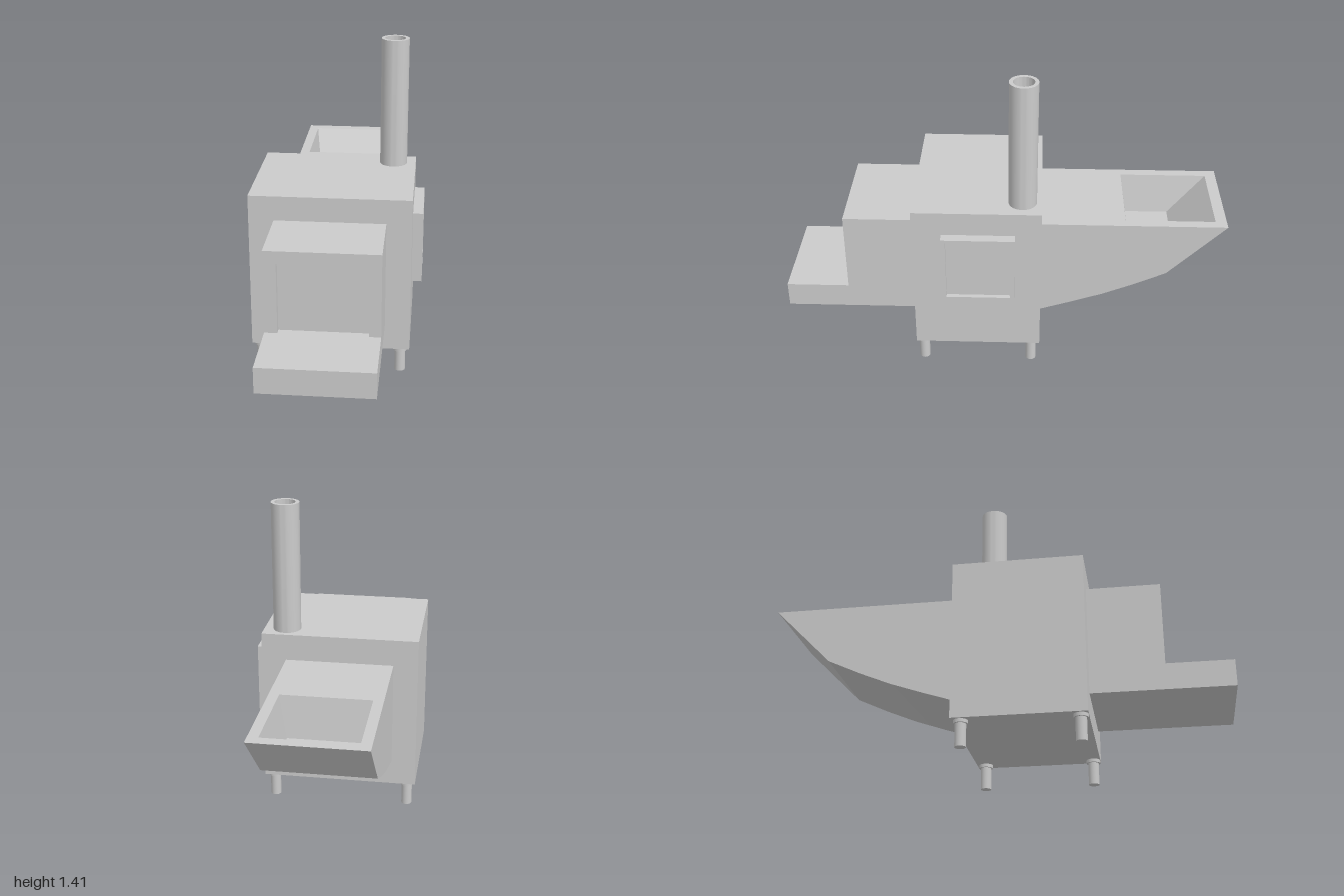
import * as THREE from 'three';
import { toCreasedNormals } from 'three/addons/utils/BufferGeometryUtils.js';

const material = new THREE.MeshStandardMaterial({ color: 0xcccccc });

function part(name, geometry, parent) {
  const mesh = new THREE.Mesh(geometry, material);
  mesh.name = name;
  parent.add(mesh);
  return mesh;
}

// Box given by its limits on each axis
function box(name, [x0, x1], [y0, y1], [z0, z1], parent) {
  const mesh = part(name, new THREE.BoxGeometry(x1 - x0, y1 - y0, z1 - z0), parent);
  mesh.position.set((x0 + x1) / 2, (y0 + y1) / 2, (z0 + z1) / 2);
  return mesh;
}

function polygon(points) {
  return points.map(([x, y]) => new THREE.Vector2(x, y));
}

const rect = (x0, x1, y0, y1) => polygon([[x0, y0], [x1, y0], [x1, y1], [x0, y1]]);

// Rear hopper: curved underside, flat sides and a tapering pit in the top
function hopperGeometry() {
  const x0 = -0.265, x1 = 0.22, top = 0.705, front = -0.175;
  const profile = [[-1, top], [-0.745, 0.45], [-0.6, 0.383], [-0.46, 0.325], [-0.32, 0.277], [front, 0.23]];
  const positions = [];
  const tri = (...corners) => corners.forEach((c) => positions.push(...c));
  const quad = (a, b, c, d) => { tri(a, b, c); tri(a, c, d); };
  const at = (x, [z, y]) => [x, y, z];
  const loop = (xa, xb, za, zb, y) => [[xa, y, za], [xa, y, zb], [xb, y, zb], [xb, y, za]];

  // underside
  for (let i = 0; i < profile.length - 1; i++) {
    const p = profile[i], q = profile[i + 1];
    quad(at(x0, p), at(x1, p), at(x1, q), at(x0, q));
  }
  // sides
  const outline = [...profile, [front, top]];
  for (let i = 1; i < outline.length - 1; i++) {
    tri(at(x0, outline[0]), at(x0, outline[i]), at(x0, outline[i + 1]));
    tri(at(x1, outline[0]), at(x1, outline[i + 1]), at(x1, outline[i]));
  }
  // top rim, pit walls and pit floor
  const rings = [
    loop(x0, x1, -1, front, top),
    loop(-0.22, 0.175, -0.95, -0.55, top),
    loop(-0.185, 0.14, -0.78, -0.58, 0.52),
  ];
  for (let r = 0; r < 2; r++) {
    for (let i = 0; i < 4; i++) {
      const j = (i + 1) % 4;
      quad(rings[r][i], rings[r][j], rings[r + 1][j], rings[r + 1][i]);
    }
  }
  quad(...rings[2]);

  const geometry = new THREE.BufferGeometry();
  geometry.setAttribute('position', new THREE.Float32BufferAttribute(positions, 3));
  return toCreasedNormals(geometry, 0.3);
}

export function createModel() {
  const model = new THREE.Group();
  model.name = 'furnace';

  box('body', [-0.375, 0.33], [0.115, 0.825], [-0.175, 0.395], model);

  // Front outlet with a shallow opening above a tray
  const outlet = new THREE.Group();
  outlet.name = 'frontOutlet';
  model.add(outlet);
  box('outletHousing', [-0.265, 0.22], [0.23, 0.715], [0.395, 0.685], outlet);
  box('outletTray', [-0.265, 0.22], [0.23, 0.345], [0.685, 1], outlet);
  const surround = new THREE.Shape(polygon([
    [-0.265, 0.345], [-0.21, 0.345], [-0.21, 0.66], [0.17, 0.66],
    [0.17, 0.345], [0.22, 0.345], [0.22, 0.715], [-0.265, 0.715],
  ]));
  part('outletSurround', new THREE.ExtrudeGeometry(surround, { depth: 0.03, bevelEnabled: false }), outlet)
    .position.z = 0.685;

  // Side door: panel with a raised frame
  const door = new THREE.Group();
  door.name = 'sideDoor';
  model.add(door);
  box('doorPanel', [0.33, 0.355], [0.39, 0.715], [-0.06, 0.265], door);
  const frame = new THREE.Shape(rect(-0.265, 0.06, 0.39, 0.715));
  frame.holes.push(new THREE.Path(rect(-0.245, 0.04, 0.41, 0.7)));
  const doorFrame = part('doorFrame', new THREE.ExtrudeGeometry(frame, { depth: 0.02, bevelEnabled: false }), door);
  doorFrame.rotation.y = Math.PI / 2;
  doorFrame.position.x = 0.355;

  part('rearHopper', hopperGeometry(), model);

  // Hollow chimney
  const pipe = polygon([[0.0625, 0.825], [0.0625, 1.41], [0.046, 1.41], [0.046, 0.825]]);
  part('chimney', toCreasedNormals(new THREE.LatheGeometry(pipe, 48), 0.6), model)
    .position.set(0.2275, 0, -0.09);

  // Legs with collars
  for (const x of [-0.335, 0.288]) {
    for (const z of [-0.135, 0.363]) {
      const leg = new THREE.Group();
      leg.name = 'leg';
      leg.position.set(x, 0, z);
      model.add(leg);
      part('legPost', new THREE.CylinderGeometry(0.024, 0.024, 0.115, 32), leg).position.y = 0.0575;
      part('legCollar', new THREE.CylinderGeometry(0.031, 0.031, 0.015, 32), leg).position.y = 0.1075;
    }
  }

  return model;
}
